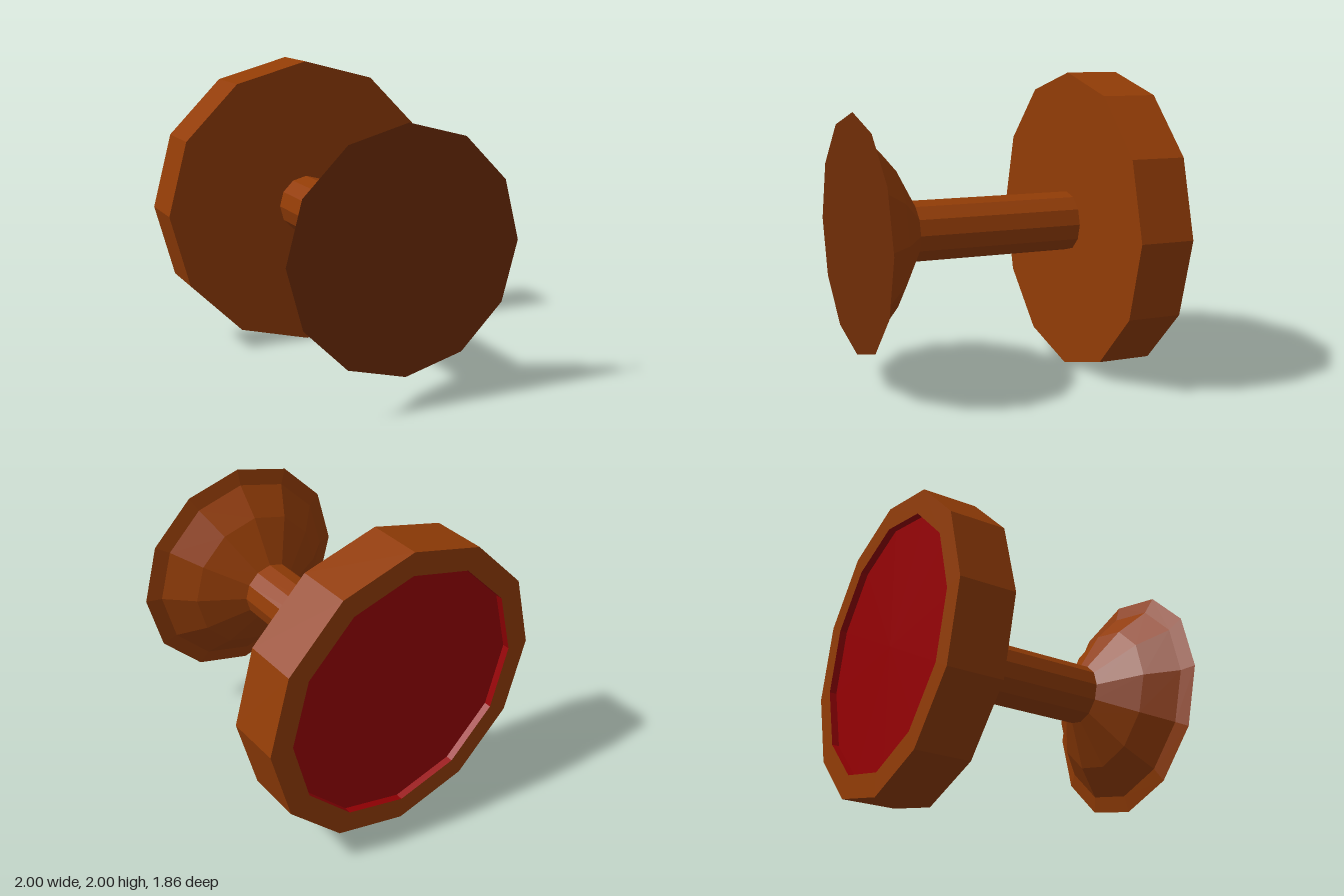
import * as THREE from 'three';

const SIDES = 12;

// Faceted part turned around the z axis; profile is [radius, z] from back to front.
function turned(name, profile, color) {
  const points = profile.map(([r, z]) => new THREE.Vector2(r, z));
  const geometry = new THREE.LatheGeometry(points, SIDES).rotateX(Math.PI / 2);
  const material = new THREE.MeshStandardMaterial({ color, flatShading: true });
  const mesh = new THREE.Mesh(geometry, material);
  mesh.name = name;
  mesh.position.y = 1;
  return mesh;
}

export function createModel() {
  const group = new THREE.Group();
  group.name = 'handStamp';
  const wood = 0x923c06;
  const darkWood = 0x702d07;
  const red = 0x960003;

  // Broad head with an open rim at the back
  group.add(turned('stampHead', [[0.845, -0.928], [1, -0.928], [1, -0.565], [0, -0.565]], wood));
  // Red recess inside the rim
  group.add(turned('inkPad', [[0, -0.88], [0.845, -0.88], [0.845, -0.928]], red));
  // Straight shaft
  group.add(turned('handleShaft', [[0.2, -0.565], [0.2, 0.557]], wood));
  // Flared grip
  group.add(turned('handleGrip',
    [[0.2, 0.557], [0.49, 0.73], [0.67, 0.897], [0.776, 0.928]], wood));
  // Flat dark front of the grip
  group.add(turned('gripFace', [[0.776, 0.928], [0, 0.928]], darkWood));

  return group;
}
